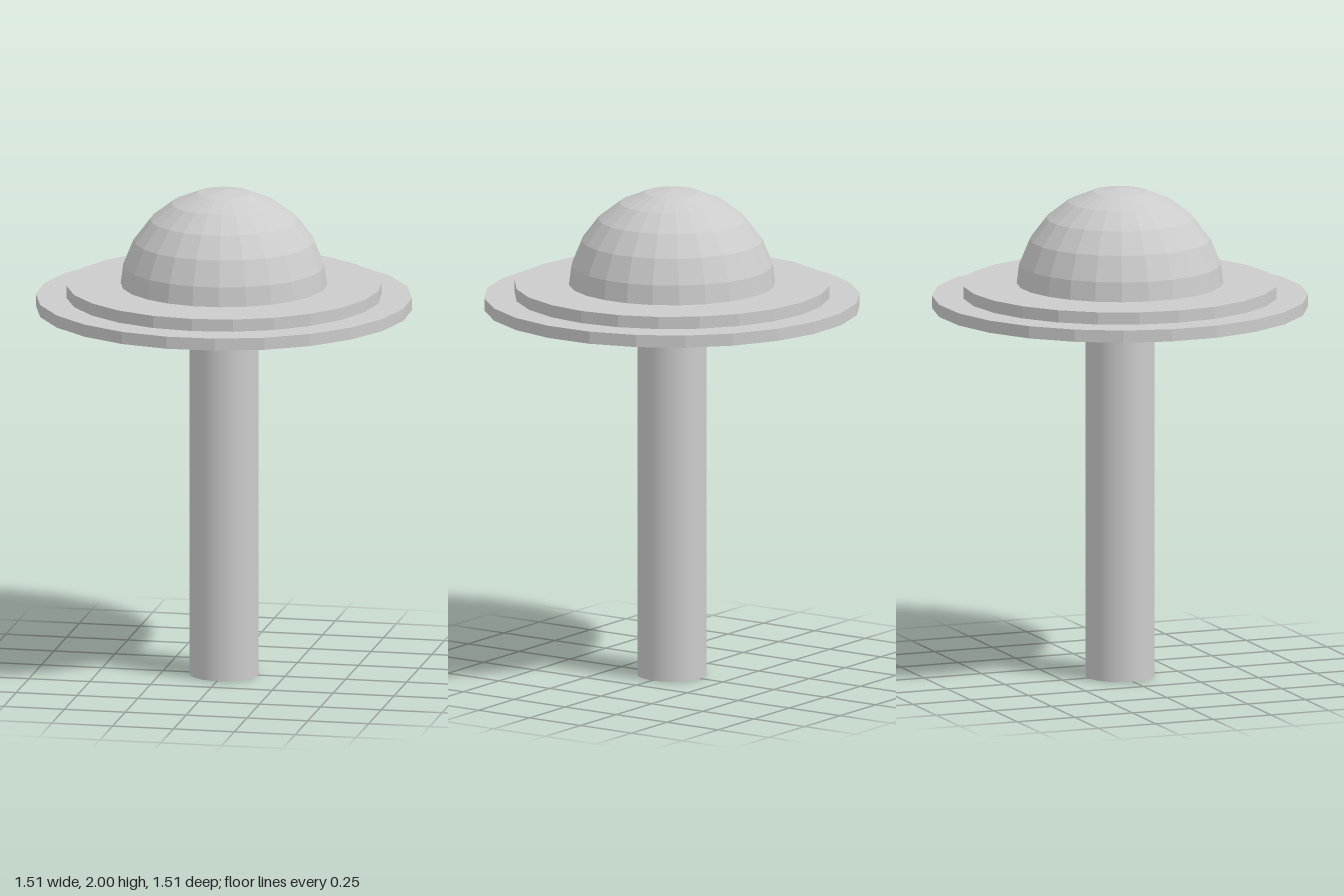
import * as THREE from 'three';

const SIDES = 24;
const TURN = THREE.MathUtils.degToRad(9); // brim and dome are turned against the plate

// Corners of a regular polygon in the XY plane
function ringPoints(radius, turn = 0) {
  return Array.from({ length: SIDES }, (_, i) => {
    const a = turn + (i / SIDES) * Math.PI * 2;
    return new THREE.Vector2(radius * Math.cos(a), radius * Math.sin(a));
  });
}

export function createModel() {
  const group = new THREE.Group();
  const smooth = new THREE.MeshStandardMaterial({ color: 0xcccccc });
  const faceted = new THREE.MeshStandardMaterial({
    color: 0xcccccc, flatShading: true, side: THREE.DoubleSide,
  });

  function add(name, geometry, material, y = 0) {
    const mesh = new THREE.Mesh(geometry, material);
    mesh.name = name;
    mesh.position.y = y;
    group.add(mesh);
  }

  // Round stem, ending just below the plate
  const stemHeight = 1.54;
  add('stem', new THREE.CylinderGeometry(0.139, 0.139, stemHeight, 48), smooth, stemHeight / 2);

  // Flat brim with an open middle
  const brim = new THREE.Shape(ringPoints(0.757, TURN));
  brim.holes.push(new THREE.Path(ringPoints(0.635).reverse()));
  const brimGeometry = new THREE.ExtrudeGeometry(brim, { depth: 0.05, bevelEnabled: false });
  brimGeometry.rotateX(-Math.PI / 2);
  add('brim', brimGeometry, faceted, 1.51);

  // Raised step: thin wall, open below
  add('stepWall', new THREE.CylinderGeometry(0.635, 0.635, 0.05, SIDES, 1, true), faceted, 1.585);

  // Thin plate with a narrow wedge-shaped slit hidden under the dome
  const plate = new THREE.Shape(ringPoints(0.635));
  plate.holes.push(new THREE.Path([
    new THREE.Vector2(-0.225, 0.344),
    new THREE.Vector2(-0.272, 0.300),
    new THREE.Vector2(0.219, -0.346),
  ]));
  const plateGeometry = new THREE.ShapeGeometry(plate);
  plateGeometry.rotateX(-Math.PI / 2);
  add('plate', plateGeometry, faceted, 1.61);

  // Faceted dome: bands of 15 degrees, cut off at the plate
  const radius = 0.42, centre = 1.58;
  const profile = [new THREE.Vector2(0.416, 1.61)];
  for (let k = 5; k >= 0; k--) {
    const a = THREE.MathUtils.degToRad(15 * k);
    profile.push(new THREE.Vector2(radius * Math.sin(a), centre + radius * Math.cos(a)));
  }
  add('dome', new THREE.LatheGeometry(profile, SIDES, TURN), faceted);

  return group;
}
